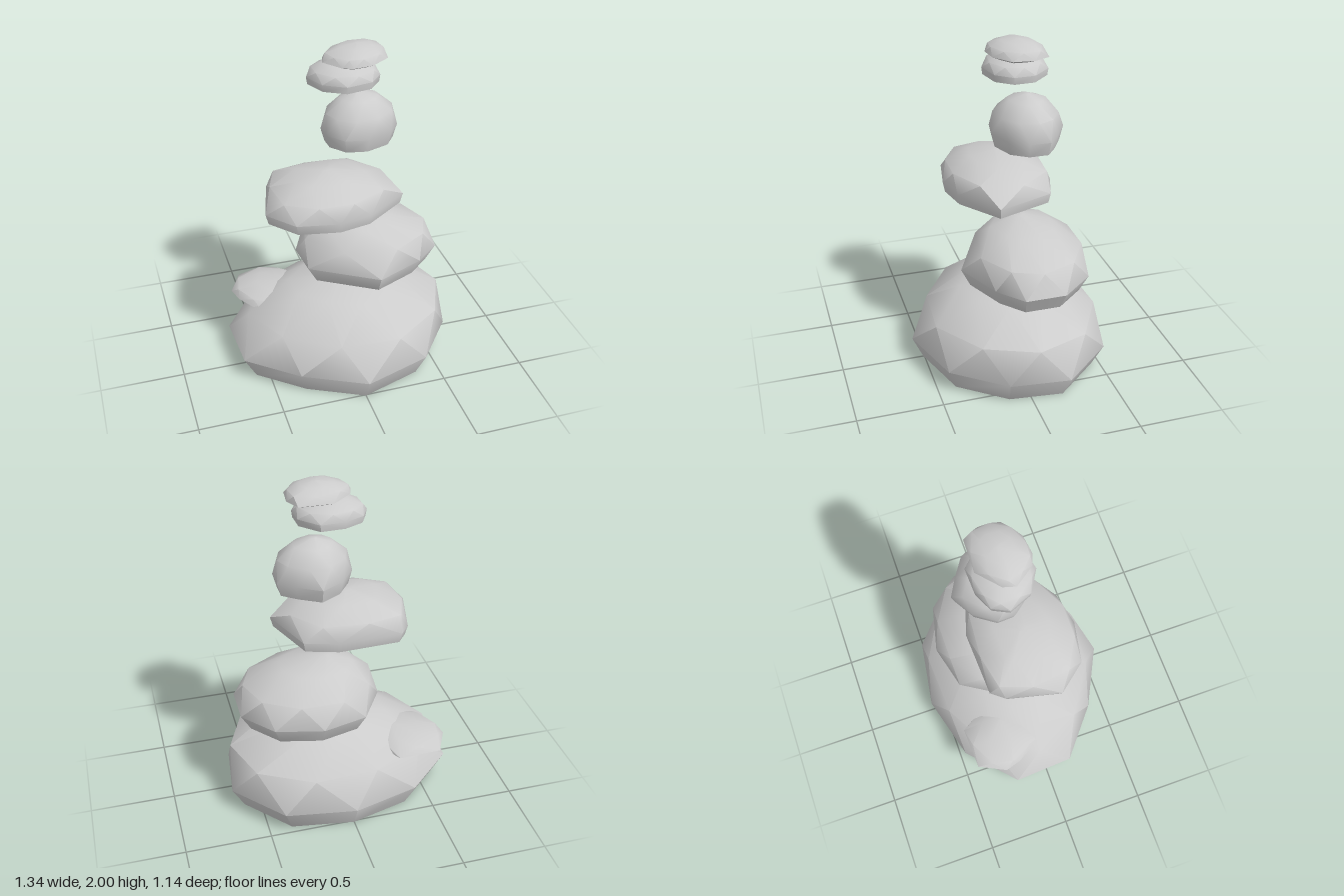
import * as THREE from 'three';
import { toCreasedNormals } from 'three/addons/utils/BufferGeometryUtils.js';
import { ConvexGeometry } from 'three/addons/geometries/ConvexGeometry.js';

// Corners halfway along each side of an outline
const midpoints = (outline) => outline.map(([x, z], i) => {
  const [nx, nz] = outline[(i + 1) % outline.length];
  return [(x + nx) / 2, (z + nz) / 2];
});

// Faceted stone: a flat foot, a wide waist, a staggered shoulder and a crown closing at the apex.
function stoneGeometry(outline, { foot, waist, top, footScale, apex, lean = 0 }) {
  const points = [];
  const addRing = (ring, y, scale, [cx, cz], shift = 0) => {
    for (const [x, z] of ring) {
      points.push(new THREE.Vector3(cx + (x - cx) * scale + shift, y, cz + (z - cz) * scale));
    }
  };
  const box = new THREE.Box2().setFromPoints(outline.map(([x, z]) => new THREE.Vector2(x, z)));
  const height = top - waist;
  addRing(outline, foot, footScale, box.getCenter(new THREE.Vector2()).toArray());
  addRing(outline, waist, 1, apex);
  addRing(midpoints(outline), waist + height * 0.5, 0.93, apex, lean);
  addRing(outline, waist + height * 0.85, 0.5, apex, lean);
  addRing(outline, top, 0.07, apex);
  // Smooth over the dome, creased at the sharp lower edges
  return toCreasedNormals(new ConvexGeometry(points), 0.75);
}

export function createModel() {
  const group = new THREE.Group();
  group.name = 'stoneStack';
  const material = new THREE.MeshStandardMaterial({ color: 0xcccccc });
  material.name = 'stone grey';

  const addStone = (name, outline, shape) => {
    const mesh = new THREE.Mesh(stoneGeometry(outline, shape), material);
    mesh.name = name;
    group.add(mesh);
  };

  // Large stones
  addStone('baseStone', [
    [0, -0.575], [0.41, -0.51], [0.67, -0.21], [0.63, 0.14], [0.4, 0.44],
    [0, 0.57], [-0.36, 0.39], [-0.65, 0.15], [-0.67, -0.21], [-0.39, -0.47],
  ], { foot: 0, waist: 0.14, top: 0.55, footScale: 0.89, apex: [0.01, -0.02], lean: 0.035 });

  addStone('secondStone', [
    [-0.1, -0.385], [0.16, -0.45], [0.43, -0.385], [0.59, -0.195], [0.59, 0.04],
    [0.44, 0.17], [0.155, 0.295], [-0.22, 0.06], [-0.24, -0.16],
  ], { foot: 0.555, waist: 0.66, top: 0.93, footScale: 0.86, apex: [0.06, -0.08] });

  addStone('thirdStone', [
    [-0.475, 0.12], [-0.34, 0.285], [-0.1, 0.33], [0.09, 0.29], [0.34, 0.11],
    [0.22, -0.22], [0.03, -0.28], [-0.34, -0.265], [-0.4, -0.19],
  ], { foot: 1.05, waist: 1.11, top: 1.29, footScale: 0.96, apex: [-0.09, 0.01] });

  // Small pebbles
  addStone('fourthStone', [
    [0.13, -0.315], [0.26, -0.24], [0.35, -0.17], [0.35, -0.05], [0.28, 0.05],
    [0.13, 0.105], [0, 0.08], [-0.08, -0.02], [-0.085, -0.12], [0, -0.24],
  ], { foot: 1.4, waist: 1.48, top: 1.695, footScale: 0.9, apex: [0.13, -0.1] });

  addStone('fifthStone', [
    [-0.175, -0.08], [-0.12, 0.05], [0, 0.12], [0.15, 0.09], [0.225, 0],
    [0.22, -0.12], [0.12, -0.225], [-0.02, -0.22], [-0.13, -0.17],
  ], { foot: 1.78, waist: 1.82, top: 1.91, footScale: 0.97, apex: [0.015, -0.05] });

  addStone('topStone', [
    [-0.1, -0.02], [-0.02, 0.09], [0.04, 0.113], [0.15, 0.1], [0.26, 0.02],
    [0.272, -0.1], [0.23, -0.19], [0.04, -0.195], [-0.08, -0.09],
  ], { foot: 1.89, waist: 1.92, top: 2, footScale: 0.6, apex: [0.105, -0.05] });

  // Flat pebble wedged into the flank of the base
  addStone('sideStone', [
    [-0.55, -0.43], [-0.3, -0.44], [-0.15, -0.2], [-0.3, 0], [-0.49, 0.01], [-0.6, -0.17], [-0.63, -0.27],
  ], { foot: 0.32, waist: 0.36, top: 0.44, footScale: 0.7, apex: [-0.32, -0.2] });

  return group;
}
